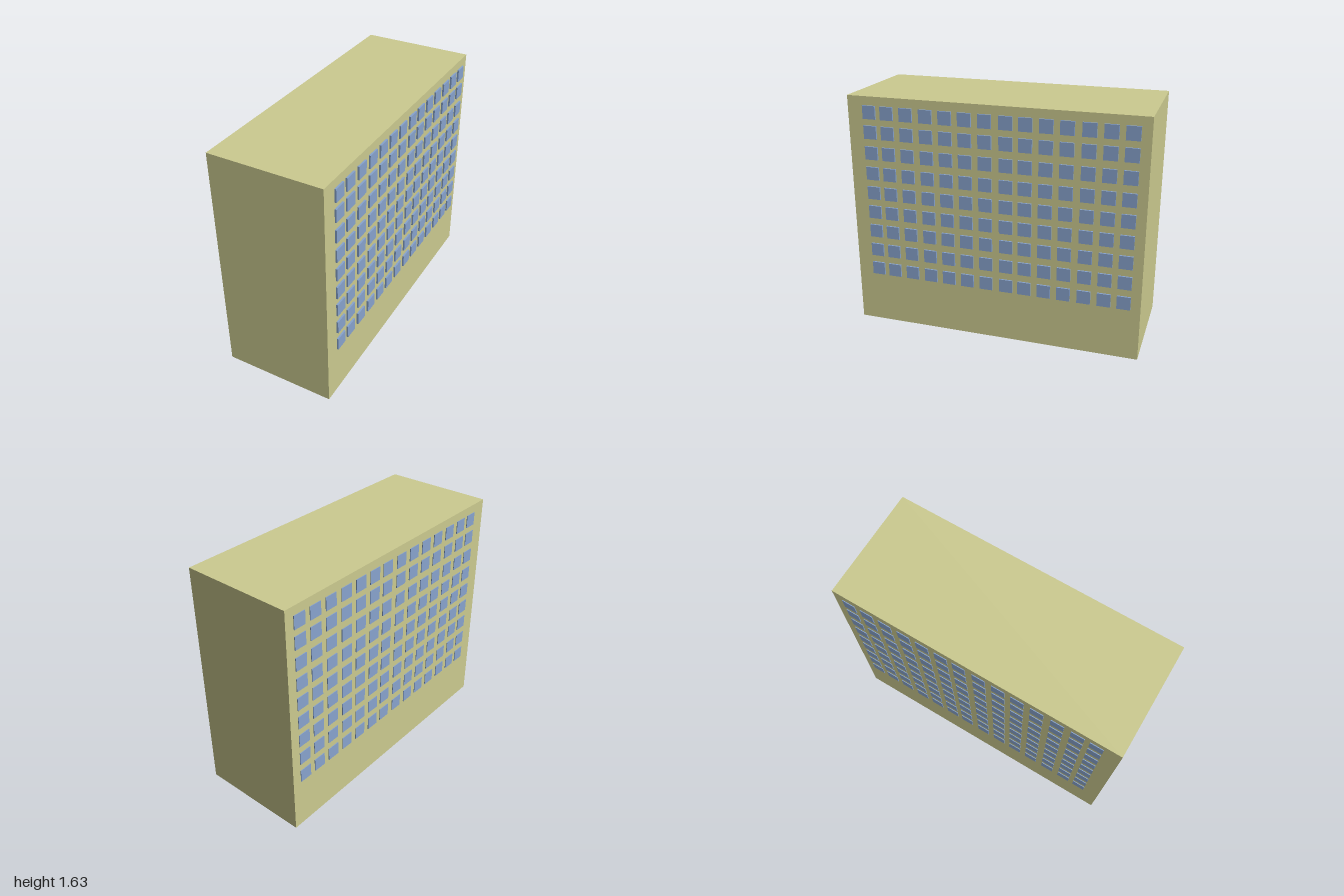
import * as THREE from 'three';

export function createModel() {
  const model = new THREE.Group();
  model.name = 'building';
  const wallMaterial = new THREE.MeshStandardMaterial({ color: 0xcccb90 });
  const glassMaterial = new THREE.MeshStandardMaterial({ color: 0x88a4ce });

  // Main block, slightly off centre because the panes stand out further on +x
  const xMin = -0.39, xMax = 0.383, height = 1.63, length = 2;
  const block = new THREE.Mesh(new THREE.BoxGeometry(xMax - xMin, height, length), wallMaterial);
  block.name = 'buildingBlock';
  block.position.set((xMin + xMax) / 2, height / 2, 0);
  model.add(block);

  // Window grid: slightly uneven row heights and column positions
  const rows = [0.404, 0.546, 0.688, 0.827, 0.966, 1.105, 1.247, 1.39, 1.525];
  const columns = [0.845, 0.72, 0.585, 0.447, 0.313, 0.18, 0.045,
    -0.095, -0.223, -0.357, -0.49, -0.627, -0.76, -0.89];
  const outer = 0.395, depth = 0.014;
  const pane = new THREE.BoxGeometry(depth, 0.09, 0.09);

  // Same grid on both long walls, sunk a little into the wall
  for (const [side, name] of [[1, 'leftWindows'], [-1, 'rightWindows']]) {
    const wall = new THREE.Group();
    wall.name = name;
    for (const y of rows) {
      for (const z of columns) {
        const mesh = new THREE.Mesh(pane, glassMaterial);
        mesh.name = 'window';
        mesh.position.set(side * (outer - depth / 2), y, z);
        wall.add(mesh);
      }
    }
    model.add(wall);
  }
  return model;
}
